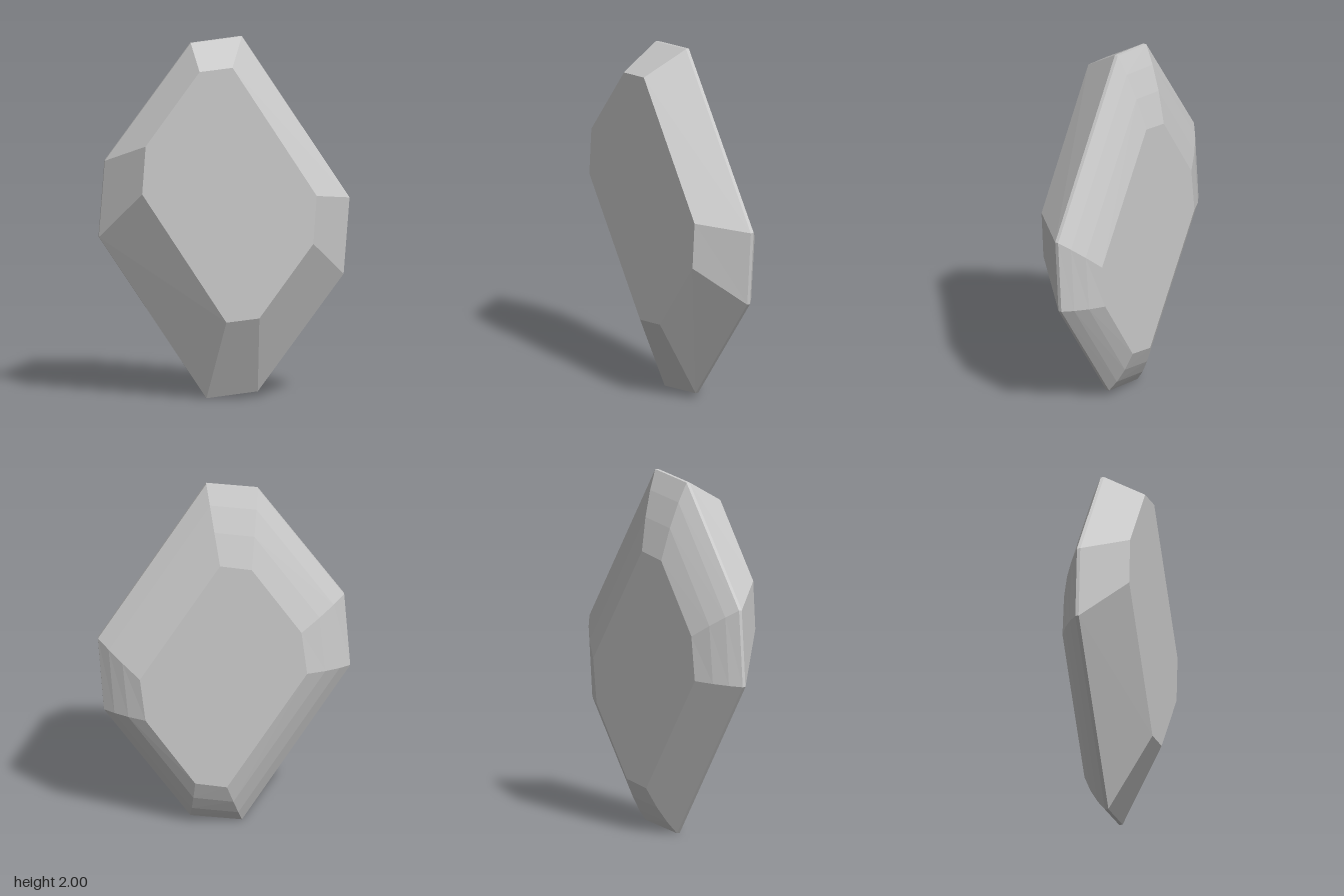
import * as THREE from 'three';

// Half of a point-symmetric octagon, completed by its negatives and moved to a centre (cx, cy)
function octagon(half, cx, cy) {
  return [1, -1].flatMap(s => half.map(([x, y]) => [cx + s * x, cy + s * y]));
}

// Flat polygon fan
function cap(ring, front) {
  const out = [];
  for (let i = 1; i < ring.length - 1; i++) {
    out.push(ring[0], ...(front ? [ring[i + 1], ring[i]] : [ring[i], ring[i + 1]]));
  }
  return out;
}

// Band of facets between a front ring and the ring behind it
function band(a, b) {
  return a.flatMap((p, i) => {
    const j = (i + 1) % a.length;
    return [p, a[j], b[j], p, b[j], b[i]];
  });
}

function facetMesh(name, points) {
  const geo = new THREE.BufferGeometry();
  geo.setAttribute('position', new THREE.Float32BufferAttribute(points.flat(), 3));
  geo.computeVertexNormals();
  const mesh = new THREE.Mesh(geo, new THREE.MeshStandardMaterial({ color: 0xcccccc, flatShading: true }));
  mesh.name = name;
  return mesh;
}

export function createModel() {
  // Outlines of the widest edge and of the two flat faces
  const girdle = octagon([[-0.185, 0.967], [0.098, 1], [0.692, 0.097], [0.659, -0.325]], 0.012, 1);
  const table = octagon([[-0.165, 0.685], [0.017, 0.705], [0.482, -0.013], [0.463, -0.278]], 0.012, 1.155);
  const base = octagon([[-0.155, 0.631], [0.019, 0.658], [0.459, -0.006], [0.428, -0.25]], 0.024, 0.911);

  const at = (outline, z) => outline.map(([x, y]) => [x, y, z]);
  const blend = t => girdle.map(([x, y], i) => [x + (base[i][0] - x) * t, y + (base[i][1] - y) * t]);

  const tableRing = at(table, 0.195);
  const girdleFront = at(girdle, -0.033);
  // Rounded back, stepping inward faster towards the base
  const backRings = [[0, -0.052], [0.25, -0.1], [0.58, -0.149], [1, -0.195]].map(([t, z]) => at(blend(t), z));

  const gem = new THREE.Group();
  gem.name = 'gem';
  gem.add(
    facetMesh('frontTable', cap(tableRing, true)),
    facetMesh('crownFacets', band(tableRing, girdleFront)),
    facetMesh('girdle', band(girdleFront, backRings[0])),
    facetMesh('backFacets', [0, 1, 2].flatMap(i => band(backRings[i], backRings[i + 1]))),
    facetMesh('backTable', cap(backRings[3], false))
  );
  gem.rotation.y = 0.4;

  const model = new THREE.Group();
  model.name = 'cutStone';
  model.add(gem);
  return model;
}
